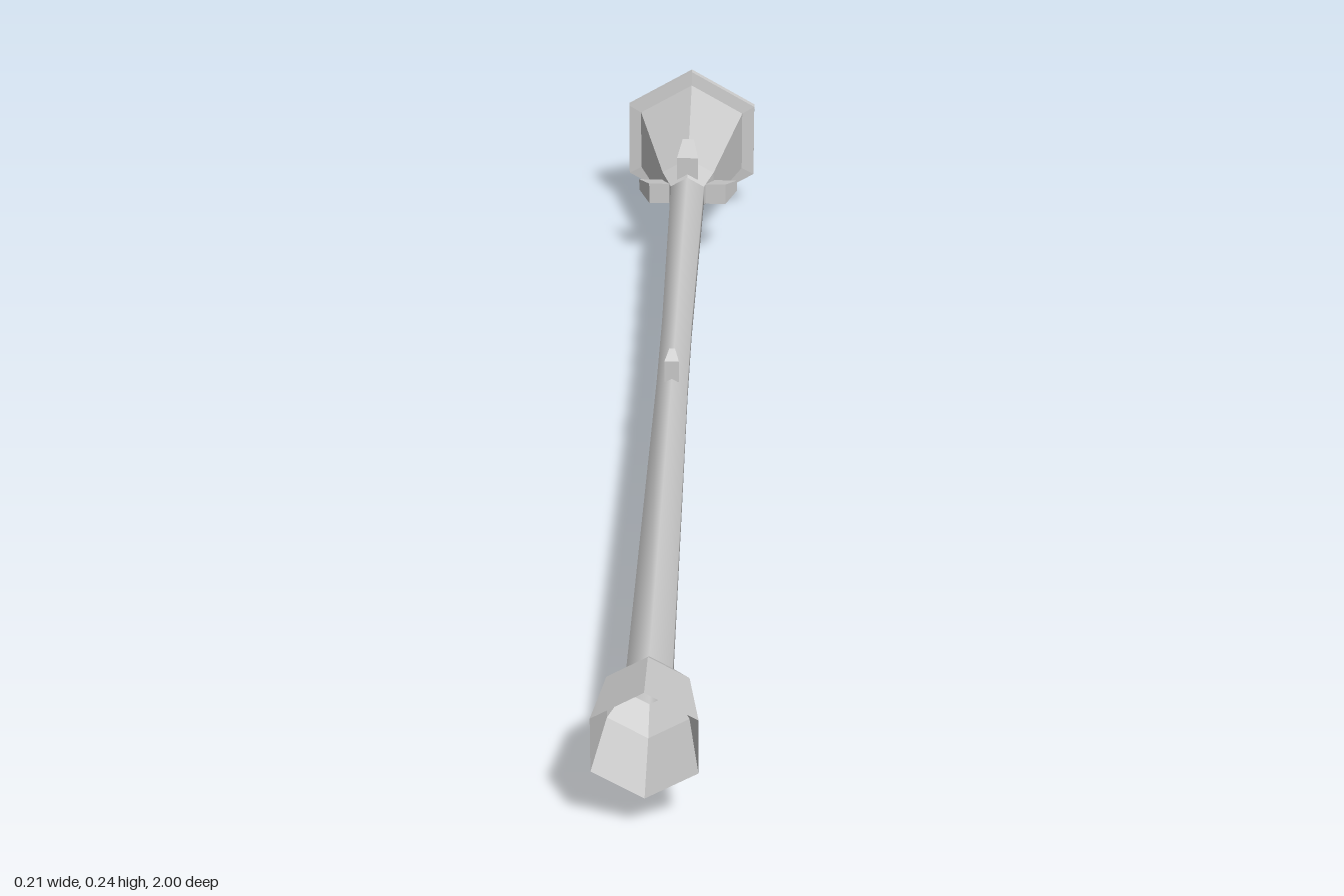
import * as THREE from 'three';
import { toCreasedNormals } from 'three/addons/utils/BufferGeometryUtils.js';

const smooth = new THREE.MeshStandardMaterial({ color: 0xcccccc, side: THREE.DoubleSide });
const flat = new THREE.MeshStandardMaterial({ color: 0xcccccc, side: THREE.DoubleSide, flatShading: true });

// Six-sided turned part from [radius, height] pairs; a crease angle keeps sharp edges
function hexTurned(name, profile, material, crease) {
  let geo = new THREE.LatheGeometry(profile.map(([r, y]) => new THREE.Vector2(r, y)), 6);
  if (crease) geo = toCreasedNormals(geo, crease);
  const mesh = new THREE.Mesh(geo, material);
  mesh.name = name;
  return mesh;
}

// Tapered radial block: each end is { y, inner, outer, width }
function radialBlock(name, low, high, angle) {
  const geo = new THREE.BoxGeometry(1, 1, 1);
  const p = geo.attributes.position;
  for (let i = 0; i < p.count; i++) {
    const end = p.getY(i) > 0 ? high : low;
    p.setXYZ(i, p.getX(i) > 0 ? end.outer : end.inner, end.y, p.getZ(i) * end.width);
  }
  geo.computeVertexNormals();
  const mesh = new THREE.Mesh(geo, flat);
  mesh.name = name;
  mesh.rotation.y = angle;
  return mesh;
}

export function createModel() {
  const model = new THREE.Group();
  model.name = 'streetLamp';

  // The lamp is built upright, then laid down with its top towards -z
  const lamp = new THREE.Group();
  lamp.name = 'lamp';
  lamp.rotation.x = -Math.PI / 2;
  lamp.position.y = 0.123;
  model.add(lamp);

  // Flared open foot and slightly waisted hollow pole
  lamp.add(hexTurned('base', [[0.07, -1], [0.055, -0.9], [0.031, -0.86]], flat));
  lamp.add(hexTurned('pole', [[0.031, -0.865], [0.025, -0.1], [0.025, 0.1], [0.031, 0.62]], smooth));

  // Lantern body
  lamp.add(hexTurned('lanternCup', [[0.031, 0.61], [0.048, 0.65]], flat));
  lamp.add(hexTurned('lanternPanes', [[0.048, 0.65], [0.1, 0.86]], flat));

  // Roof rim, curved roof and pointed finial
  lamp.add(hexTurned('roofRim', [[0.097, 0.855], [0.122, 0.857], [0.122, 0.87]], flat));
  lamp.add(hexTurned('roof', [
    [0.122, 0.87], [0.085, 0.887], [0.06, 0.902], [0.052, 0.92],
    [0.039, 0.938], [0.022, 0.952], [0.009, 0.956],
  ], smooth));
  lamp.add(hexTurned('finial', [[0.009, 0.952], [0.014, 0.966], [0.007, 0.985], [0, 1]], smooth, 0.6));

  // Four flared brackets under the lantern
  for (let i = 0; i < 4; i++) {
    lamp.add(radialBlock('bracket' + (i + 1),
      { y: 0.617, inner: 0.025, outer: 0.062, width: 0.034 },
      { y: 0.655, inner: 0.042, outer: 0.08, width: 0.018 }, i * Math.PI / 2));
  }

  // Two small fins midway along the pole
  for (const side of [1, -1]) {
    lamp.add(radialBlock(side > 0 ? 'lowerFin' : 'upperFin',
      { y: -0.118, inner: 0.02, outer: 0.052, width: 0.02 },
      { y: -0.1, inner: 0.02, outer: 0.063, width: 0.008 }, side * Math.PI / 2));
  }
  return model;
}
